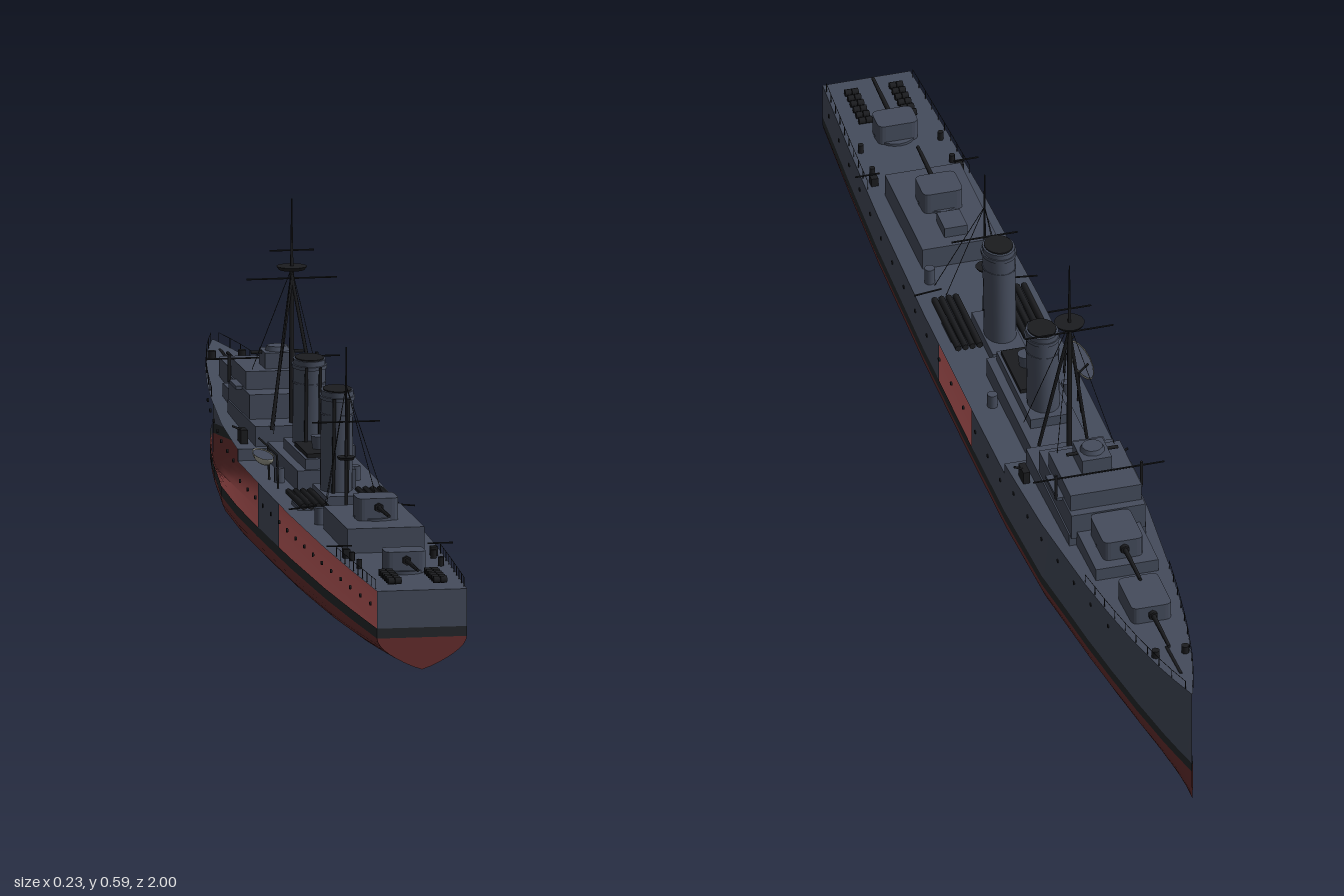
import * as THREE from 'three';

const mat = (name, color, double) => {
  const m = new THREE.MeshStandardMaterial({ color, name });
  if (double) m.side = THREE.DoubleSide;
  return m;
};

export function createModel() {
  const ship = new THREE.Group();
  ship.name = 'warship';
  const gray = mat('hull gray', 0x454c5c, true);
  const red = mat('bottom red', 0x682f2f, true);
  const boot = mat('boot stripe', 0x25282b, true);
  const black = mat('fittings black', 0x1b1c1f);
  const pale = mat('boat canvas', 0xa3a397, true);

  const add = (name, geo, m, x = 0, y = 0, z = 0) => {
    const mesh = new THREE.Mesh(geo, m);
    mesh.name = name;
    mesh.position.set(x, y, z);
    ship.add(mesh);
    return mesh;
  };
  // box given by its width, height span and length span
  const box = (name, m, w, y0, y1, z0, z1, x = 0) =>
    add(name, new THREE.BoxGeometry(w, y1 - y0, z1 - z0), m, x, (y0 + y1) / 2, (z0 + z1) / 2);
  const rod = (name, a, b, r = 0.0015, r2 = r, m = black) => {
    const p = new THREE.Vector3(...a), q = new THREE.Vector3(...b), d = q.clone().sub(p);
    const mesh = add(name, new THREE.CylinderGeometry(r2, r, d.length(), 6), m);
    mesh.position.copy(p).add(q).multiplyScalar(0.5);
    mesh.quaternion.setFromUnitVectors(new THREE.Vector3(0, 1, 0), d.normalize());
    return mesh;
  };

  // hull lines
  const plan = [[-1, 0.001], [-0.95, 0.016], [-0.9, 0.029], [-0.8, 0.049], [-0.7, 0.064], [-0.6, 0.076], [-0.4, 0.093],
    [-0.2, 0.101], [0, 0.102], [0.3, 0.101], [0.6, 0.095], [0.8, 0.087], [1, 0.077]];
  const beam = z => {
    const i = Math.max(1, plan.findIndex(p => p[0] >= z - 1e-6));
    const [a, b] = [plan[i - 1], plan[i]];
    return a[1] + (b[1] - a[1]) * (z - a[0]) / (b[0] - a[0]);
  };
  const clamp = t => Math.min(1, Math.max(0, t));
  const waterBeam = z => beam(z) * (1 - 0.25 * clamp((-z - 0.4) / 0.6));
  const BREAK = -0.2, WL = 0.055, TOP = 0.072;
  const foreDeck = z => 0.17 + 0.045 * Math.pow(clamp((BREAK - z) / 0.8), 1.2);
  const mainDeck = z => 0.15 - 0.014 * clamp((z - BREAK) / 1.2);
  const deckAt = z => (z < BREAK ? foreDeck(z) : mainDeck(z));
  const bottom = z => {
    const m = 1.4 - 0.8 * Math.pow(Math.abs(z), 2.5);
    return Array.from({ length: 9 }, (_, i) => {
      const a = i / 8 * Math.PI / 2;
      return [waterBeam(z) * Math.sin(a), WL * Math.pow(1 - Math.cos(a), m)];
    });
  };

  // skin lofted through cross-sections along z
  const loft = (name, m, z0, z1, side, section) => {
    const n = Math.max(2, Math.round((z1 - z0) / 0.05)), pos = [], idx = [];
    let k = 0;
    for (let i = 0; i <= n; i++) {
      const z = z0 + (z1 - z0) * i / n, s = section(z);
      k = s.length;
      s.forEach(([x, y]) => pos.push(side * x, y, z));
    }
    for (let i = 0; i < n; i++) for (let j = 0; j < k - 1; j++) {
      const a = i * k + j, b = a + 1, c = a + k, d = c + 1;
      if (side > 0) idx.push(a, b, c, b, d, c); else idx.push(a, c, b, b, c, d);
    }
    const g = new THREE.BufferGeometry();
    g.setAttribute('position', new THREE.Float32BufferAttribute(pos, 3));
    g.setIndex(idx);
    g.computeVertexNormals();
    add(name, g, m);
  };
  const plating = deck => z => [[waterBeam(z), TOP], [beam(z), deck(z)]];
  for (const s of [-1, 1]) {
    loft('hullBottom', red, -1, 1, s, bottom);
    loft('bootStripe', boot, -1, 1, s, z => [[waterBeam(z), WL], [waterBeam(z), TOP]]);
  }
  // side plating: open bays on either side
  loft('bowPlating', gray, -1, BREAK, 1, plating(foreDeck));
  loft('sidePlating', gray, BREAK, 0, 1, plating(mainDeck));
  loft('sternPlating', gray, 0.2, 1, 1, plating(mainDeck));
  loft('midPlating', gray, 0, 0.2, -1, plating(mainDeck));
  // decks
  const deckRow = deck => z => [[beam(z), deck(z)], [-beam(z), deck(z)]];
  loft('forecastleDeck', gray, -1, BREAK, 1, deckRow(foreDeck));
  loft('mainDeck', gray, BREAK, 1, 1, deckRow(mainDeck));
  box('forecastleBreak', gray, 0.2, 0.148, 0.17, BREAK - 0.004, BREAK);

  // transom
  const plate = (name, m, pts) =>
    add(name, new THREE.ShapeGeometry(new THREE.Shape(pts.map(p => new THREE.Vector2(...p)))), m, 0, 0, 1);
  const sec = bottom(1), wb = waterBeam(1);
  plate('transomBottom', red, [...sec.map(([x, y]) => [-x, y]).reverse(), ...sec.slice(1)]);
  plate('transomStripe', boot, [[-wb, WL], [wb, WL], [wb, TOP], [-wb, TOP]]);
  plate('transom', gray, [[-wb, TOP], [wb, TOP], [wb, mainDeck(1)], [-wb, mainDeck(1)]]);

  // portholes
  const disc = new THREE.CylinderGeometry(0.0035, 0.0035, 0.003, 8).rotateZ(Math.PI / 2);
  for (let z = -0.7; z < 0.95; z += 0.075) for (const s of [-1, 1]) {
    const y = deckAt(z) - 0.03, t = (y - TOP) / (deckAt(z) - TOP);
    add('porthole', disc, black, s * (waterBeam(z) + (beam(z) - waterBeam(z)) * t), y, z);
  }

  // gun mounts: rounded shield, barrel, pedestal; dir is -1 forward, +1 aft
  const gun = (y, zc, dir, len, w, d, h) => {
    const r = 0.012, x = w / 2, q = d / 2, s = new THREE.Shape();
    s.moveTo(-x + r, -q).lineTo(x - r, -q).quadraticCurveTo(x, -q, x, -q + r).lineTo(x, q - r)
      .quadraticCurveTo(x, q, x - r, q).lineTo(-x + r, q).quadraticCurveTo(-x, q, -x, q - r)
      .lineTo(-x, -q + r).quadraticCurveTo(-x, -q, -x + r, -q);
    const g = new THREE.ExtrudeGeometry(s, { depth: h, bevelEnabled: false, curveSegments: 4 }).rotateX(-Math.PI / 2);
    add('gunShield', g, gray, 0, y, zc);
    add('gunBase', new THREE.CylinderGeometry(0.036, 0.036, 0.008, 20), gray, 0, y, zc);
    const gy = y + h * 0.6;
    rod('gunBarrel', [0, gy, zc + dir * q * 0.8], [0, gy + 0.002, zc + dir * len], 0.0045, 0.003);
    rod('gunMantlet', [0, gy, zc + dir * q * 0.9], [0, gy, zc + dir * (q + 0.008)], 0.008);
  };
  gun(0.192, -0.707, -1, 0.15, 0.07, 0.095, 0.038);
  gun(0.212, -0.535, -1, 0.145, 0.07, 0.09, 0.036);
  gun(0.182, 0.555, 1, 0.13, 0.07, 0.06, 0.038);
  gun(0.139, 0.825, 1, 0.135, 0.07, 0.05, 0.036);

  // bridge and forward deckhouses
  box('forwardDeckhouse', gray, 0.11, 0.17, 0.212, -0.6, -0.46);
  box('bridgeBase', gray, 0.135, 0.17, 0.205, -0.48, -0.215);
  box('bridgeHouse', gray, 0.13, 0.2, 0.247, -0.485, -0.285);
  box('bridgeTop', gray, 0.125, 0.247, 0.278, -0.47, -0.335);
  box('bridgeWings', gray, 0.15, 0.243, 0.249, -0.43, -0.36);
  box('director', gray, 0.052, 0.278, 0.305, -0.415, -0.355);
  add('directorCap', new THREE.CylinderGeometry(0.018, 0.022, 0.01, 12), gray, 0, 0.308, -0.385);
  rod('rangefinder', [-0.045, 0.302, -0.385], [0.045, 0.302, -0.385], 0.003);
  rod('bridgeYard', [-0.115, 0.285, -0.425], [0.115, 0.285, -0.425]);
  for (const s of [-1, 1]) {
    rod('signalPost', [s * 0.075, 0.245, -0.425], [s * 0.075, 0.292, -0.425], 0.003);
    box('wingGun', black, 0.012, 0.17, 0.195, -0.27, -0.24, s * 0.082);
    rod('wingGunBarrel', [s * 0.082, 0.192, -0.255], [s * 0.1, 0.2, -0.255], 0.002);
  }

  // funnels: oval, slightly raked, with dark uptake and band
  const funnel = (zc, base, top) => {
    const h = top - base;
    const part = (name, y, hh, r, m) => {
      const g = new THREE.CylinderGeometry(r, r, hh, 24, 1).scale(0.8, 1, 1);
      add(name, g, m, 0, y, zc + (y - base) / h * 0.012 - 0.004).rotation.x = 0.05;
    };
    part('funnel', (base + top) / 2, h, 0.034, gray);
    part('funnelCap', top - 0.012, 0.006, 0.037, gray);
    part('funnelBand', top - 0.04, 0.003, 0.0355, gray);
    part('funnelUptake', top, 0.004, 0.03, black);
    for (const s of [-1, 1])
      rod('steamPipe', [s * 0.012, base, zc + 0.036], [s * 0.012, top - 0.01, zc + 0.047], 0.003);
  };
  funnel(-0.084, 0.15, 0.345);
  funnel(0.182, 0.14, 0.338);

  // midships house, platform and vents
  box('midHouse', gray, 0.1, 0.147, 0.182, -0.2, 0.09);
  box('funnelBase', gray, 0.07, 0.18, 0.2, -0.13, 0.08);
  box('searchlightPlatform', black, 0.06, 0.2, 0.207, -0.05, 0.07);
  add('searchlight', new THREE.CylinderGeometry(0.015, 0.012, 0.022, 12), gray, 0, 0.218, 0.02);
  box('aftFunnelBase', gray, 0.06, 0.143, 0.165, 0.12, 0.25);
  for (const s of [-1, 1]) for (const z of [0, 0.385])
    add('vent', new THREE.CylinderGeometry(0.009, 0.009, 0.03, 10), gray, s * 0.065, 0.157, z);

  // torpedo tubes and depth charge racks
  for (const s of [-1, 1]) {
    box('tubeMount', gray, 0.04, 0.14, 0.152, 0.2, 0.26, s * 0.06);
    for (let i = 0; i < 4; i++) {
      const x = s * (0.041 + i * 0.0125);
      rod('torpedoTube', [x, 0.16, 0.16], [x, 0.16, 0.31], 0.0058);
    }
    for (let i = 0; i < 6; i++)
      for (const x of [0.033, 0.045])
        add('depthCharge', new THREE.CylinderGeometry(0.006, 0.006, 0.011, 8).rotateZ(Math.PI / 2), black,
          s * x, 0.145, 0.87 + i * 0.017);
    box('chargeThrower', black, 0.012, 0.138, 0.155, 0.685, 0.7, s * 0.075);
    rod('throwerArm', [s * 0.065, 0.16, 0.692], [s * 0.108, 0.16, 0.692]);
    rod('davitArm', [s * 0.06, 0.165, 0.33], [s * 0.108, 0.16, 0.33]);
    for (const z of [0.72, 0.79])
      add('bollard', new THREE.CylinderGeometry(0.005, 0.005, 0.016, 8), black, s * 0.07, 0.146, z);
    add('bowBollard', new THREE.CylinderGeometry(0.007, 0.007, 0.014, 8), black, s * 0.026, 0.213, -0.865);
  }
  rod('anchorChain', [0, 0.209, -0.93], [0, 0.204, -0.84], 0.003);

  // aft deckhouse
  box('aftDeckhouse', gray, 0.132, 0.138, 0.182, 0.425, 0.655);
  box('aftDeckLocker', gray, 0.04, 0.18, 0.2, 0.45, 0.5);

  // foremast tripod
  const FM = -0.245;
  rod('foremast', [0, 0.2, FM], [0, 0.47, FM], 0.005, 0.004);
  rod('foreTopmast', [0, 0.46, FM], [0, 0.588, FM], 0.0032, 0.001);
  for (const s of [-1, 1]) rod('mastLeg', [s * 0.042, 0.2, FM + 0.04], [0, 0.455, FM], 0.003);
  add('crowsNest', new THREE.CylinderGeometry(0.026, 0.022, 0.006, 16), black, 0, 0.47, FM);
  for (const [y, w] of [[0.452, 0.077], [0.5, 0.038]]) rod('foreYard', [-w, y, FM], [w, y, FM]);
  // mainmast
  const MM = 0.275;
  rod('mainmast', [0, 0.14, MM], [0, 0.425, MM], 0.0035, 0.0012);
  rod('mainYard', [-0.058, 0.297, MM], [0.058, 0.297, MM]);
  add('mainPlatform', new THREE.CylinderGeometry(0.016, 0.013, 0.005, 12), black, 0, 0.235, MM);
  // rigging
  for (const s of [-1, 1]) {
    rod('foreStay', [0, 0.47, FM], [s * 0.05, 0.205, -0.14], 0.0006);
    rod('foreStay', [0, 0.47, FM], [s * 0.05, 0.28, -0.345], 0.0006);
    rod('mainStay', [0, 0.36, MM], [s * 0.06, 0.14, 0.375], 0.0006);
    rod('mainStay', [0, 0.36, MM], [s * 0.05, 0.14, 0.34], 0.0006);
  }

  // ship's boat with davits on the right side
  const hull = new THREE.SphereGeometry(1, 14, 6, 0, Math.PI * 2, Math.PI / 2, Math.PI / 2).scale(0.016, 0.017, 0.058);
  add('boat', hull, pale, -0.096, 0.2, 0.018);
  add('boatCover', new THREE.CircleGeometry(1, 14).rotateX(-Math.PI / 2).scale(0.015, 1, 0.056), gray, -0.096, 0.198, 0.018);
  for (const z of [-0.025, 0.06]) {
    rod('davit', [-0.078, 0.148, z], [-0.08, 0.205, z], 0.002);
    rod('davitHead', [-0.08, 0.205, z], [-0.096, 0.22, z], 0.002);
  }

  // guard rails at bow and stern
  for (const s of [-1, 1]) for (const [a, b] of [[-0.98, -0.6], [0.68, 0.98]]) {
    let last = null;
    for (let i = 0; i <= 9; i++) {
      const z = a + (b - a) * i / 9, x = s * beam(z) * 0.97, y = deckAt(z);
      rod('railPost', [x, y, z], [x, y + 0.016, z], 0.0007);
      if (last) rod('railWire', last, [x, y + 0.016, z], 0.0005);
      last = [x, y + 0.016, z];
    }
  }
  return ship;
}
